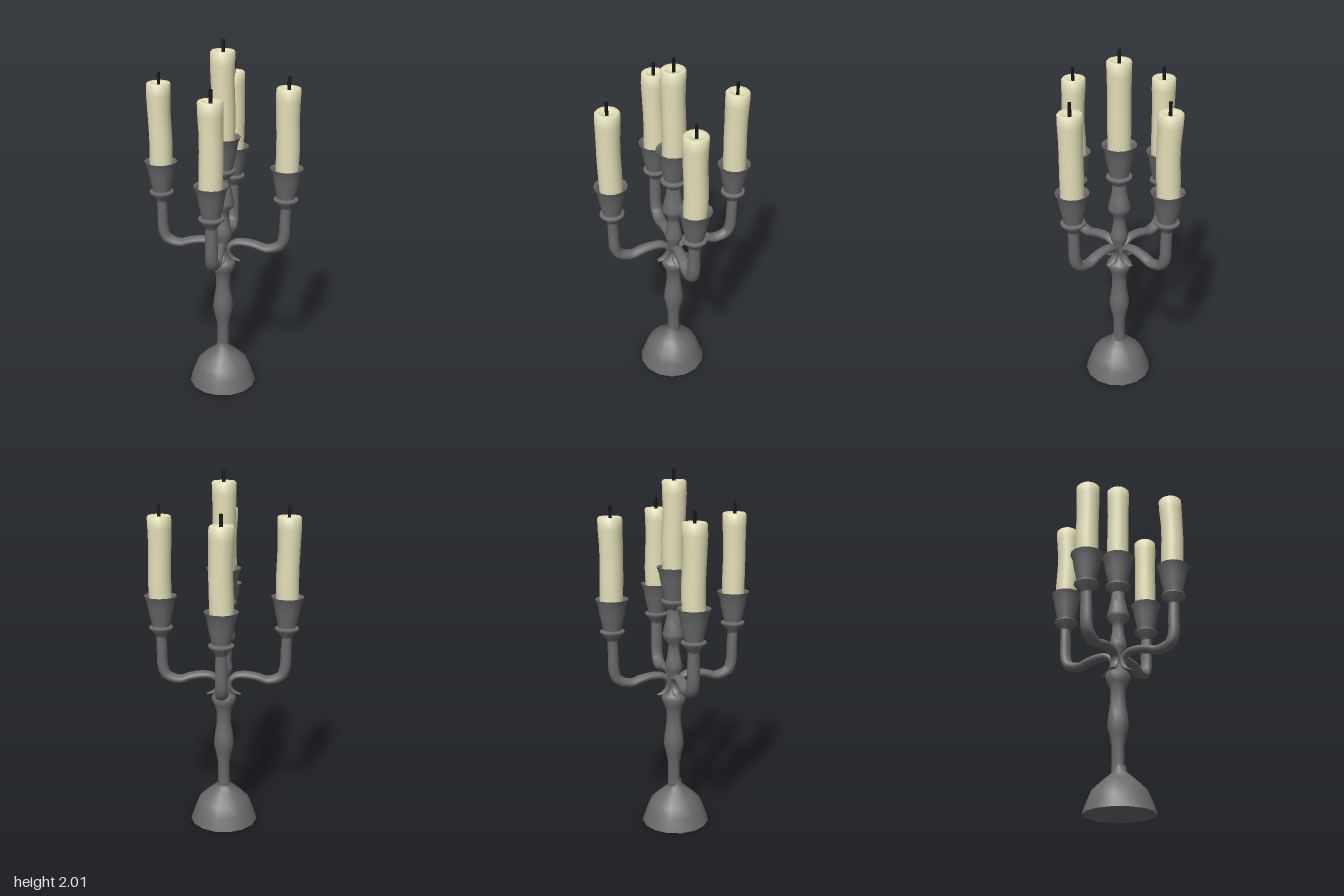
import * as THREE from 'three';
import { toCreasedNormals } from 'three/addons/utils/BufferGeometryUtils.js';

const metal = new THREE.MeshStandardMaterial({ color: 0x6a6a6a, side: THREE.DoubleSide });
const wax = new THREE.MeshStandardMaterial({ color: 0xe4dfb8 });
const black = new THREE.MeshStandardMaterial({ color: 0x161616 });

function mesh(name, geometry, material) {
  const m = new THREE.Mesh(geometry, material);
  m.name = name;
  return m;
}

// Turned part from [radius, height] pairs, listed bottom to top
function turned(points, sides, crease = 0.9) {
  const profile = points.map(([r, y]) => new THREE.Vector2(r, y));
  return toCreasedNormals(new THREE.LatheGeometry(profile, sides), crease);
}

// Sweep an oval section along a path in the xy plane.
// Each point is [x, y, half thickness in plane, half width across]
function sweepOval(points, steps, sides) {
  const path = new THREE.CatmullRomCurve3(points.map(p => new THREE.Vector3(p[0], p[1], 0)));
  const size = new THREE.CatmullRomCurve3(points.map(p => new THREE.Vector3(p[2], p[3], 0)));
  const pos = [], index = [];
  for (let i = 0; i <= steps; i++) {
    const t = i / steps;
    const c = path.getPoint(t), d = path.getTangent(t), s = size.getPoint(t);
    for (let j = 0; j < sides; j++) {
      const a = (j / sides) * Math.PI * 2;
      const u = Math.cos(a) * s.x, w = Math.sin(a) * s.y;
      pos.push(c.x - d.y * u, c.y + d.x * u, w);
      if (i < steps) {
        const p = i * sides + j, q = i * sides + (j + 1) % sides;
        index.push(p, q, p + sides, q, q + sides, p + sides);
      }
    }
  }
  const g = new THREE.BufferGeometry();
  g.setAttribute('position', new THREE.Float32BufferAttribute(pos, 3));
  g.setIndex(index);
  g.computeVertexNormals();
  return g;
}

// Candle cup with its drip saucer; the rim is at y = 0
function makeHolder() {
  return mesh('candleCup', turned([
    [0.028, -0.235], [0.036, -0.215], [0.068, -0.182], [0.067, -0.174], [0.05, -0.168],
    [0.053, -0.15], [0.069, -0.08], [0.076, -0.035], [0.09, 0],
    [0.078, -0.004], [0.064, -0.03], [0, -0.03],
  ], 14), metal);
}

// Slightly uneven candle with a dished top and a wick; base at y = 0
function makeCandle(height, phase) {
  const g = new THREE.Group();
  g.name = 'candle';
  const geo = turned([
    [0, 0], [0.062, 0], [0.063, height * 0.25], [0.062, height * 0.45], [0.062, height * 0.65],
    [0.065, height * 0.85], [0.065, height - 0.008], [0.058, height],
    [0.04, height - 0.004], [0.02, height - 0.014], [0, height - 0.018],
  ], 18, 1.1);
  const p = geo.attributes.position;
  for (let i = 0; i < p.count; i++) {
    const sway = 0.003 * Math.sin((p.getY(i) / height) * 6 + phase);
    p.setX(i, p.getX(i) + sway);
    p.setZ(i, p.getZ(i) - sway);
  }
  const wick = mesh('wick', new THREE.CylinderGeometry(0.009, 0.009, 0.075, 8), black);
  wick.position.y = height + 0.0175;
  g.add(mesh('wax', geo, wax), wick);
  return g;
}

export function createModel() {
  const root = new THREE.Group();
  root.name = 'candelabrum';

  // Domed foot
  const foot = mesh('foot', turned([
    [0, 0], [0.192, 0], [0.168, 0.07], [0.143, 0.125], [0.09, 0.175], [0.037, 0.22], [0.033, 0.25],
  ], 15), metal);
  foot.position.z = 0.01;
  root.add(foot);

  // Central stem with its knops
  root.add(mesh('stem', turned([
    [0.035, 0.215], [0.034, 0.36], [0.046, 0.42], [0.058, 0.475], [0.052, 0.53], [0.042, 0.6],
    [0.041, 0.67], [0.055, 0.71], [0.071, 0.75], [0.062, 0.768], [0.036, 0.785], [0.03, 0.82],
    [0.032, 0.88], [0.047, 0.915], [0.049, 0.94], [0.04, 0.98], [0.032, 1.03], [0.034, 1.07],
    [0.062, 1.1], [0.063, 1.12], [0.05, 1.17], [0.04, 1.22], [0.035, 1.27],
  ], 14, 1.2), metal));

  // Centre cup and candle
  const centreCup = makeHolder();
  centreCup.scale.set(1.06, 1.06, 1.06);
  centreCup.position.y = 1.49;
  const centreCandle = makeCandle(0.485, 0);
  centreCandle.position.y = 1.465;
  root.add(centreCup, centreCandle);

  // Four branches, each ending in a small curl under the stem knop
  const armShape = sweepOval([
    [0.347, 1.14, 0.028, 0.03], [0.343, 1.03, 0.03, 0.033], [0.339, 0.93, 0.031, 0.034],
    [0.318, 0.882, 0.029, 0.035], [0.245, 0.858, 0.024, 0.035], [0.19, 0.875, 0.022, 0.034],
    [0.13, 0.886, 0.022, 0.031], [0.075, 0.884, 0.02, 0.029], [0.04, 0.862, 0.016, 0.027],
    [0.032, 0.825, 0.013, 0.025], [0.05, 0.79, 0.011, 0.022], [0.094, 0.772, 0.003, 0.012],
  ], 44, 10);
  for (let i = 0; i < 4; i++) {
    const branch = new THREE.Group();
    branch.name = 'branch';
    const cup = makeHolder();
    cup.position.set(0.345, 1.335, 0);
    const candle = makeCandle(0.46, i * 1.6);
    candle.position.set(0.345, 1.31, 0);
    branch.add(mesh('arm', armShape, metal), cup, candle);
    branch.rotation.y = i * Math.PI / 2;
    root.add(branch);
  }
  return root;
}
